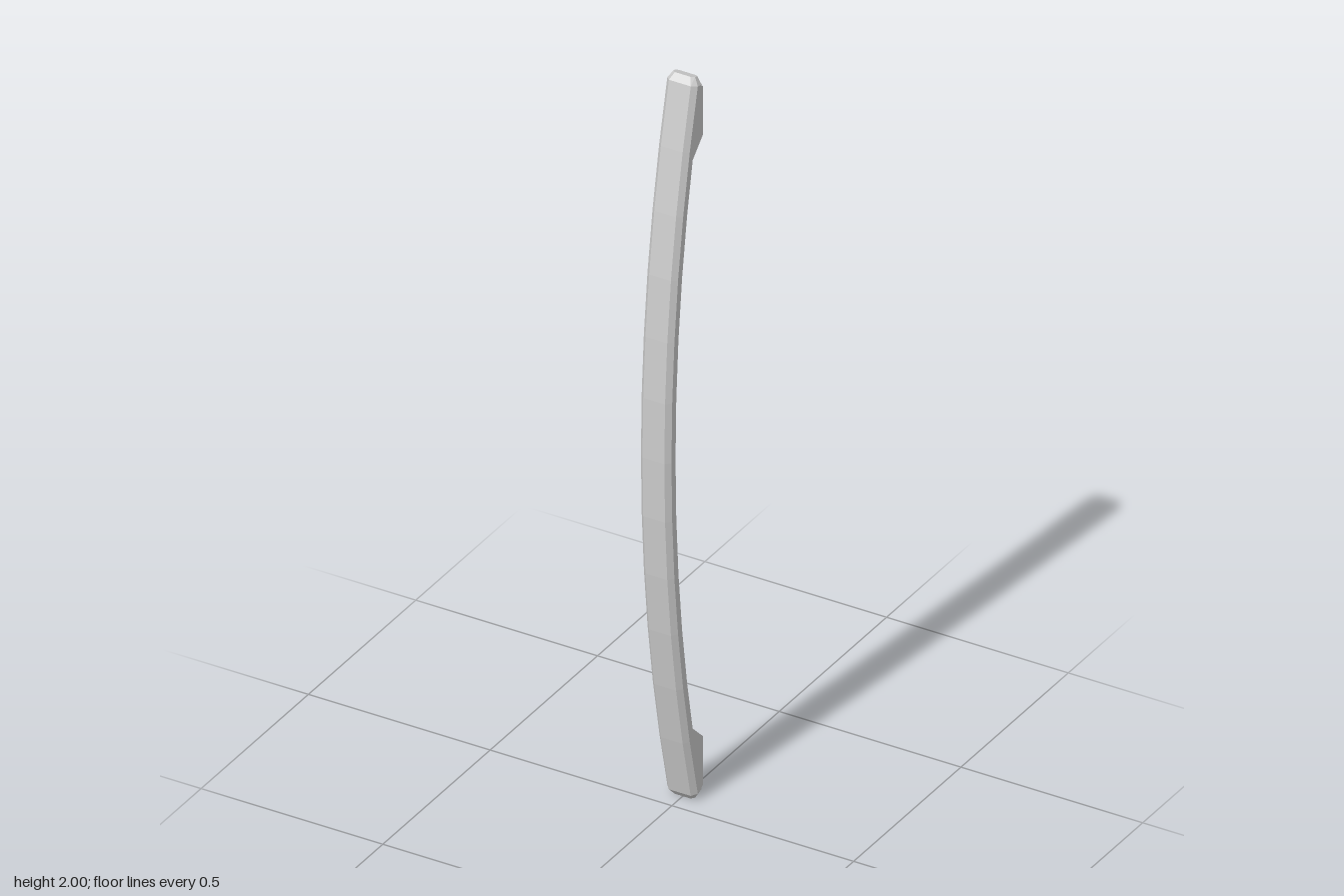
import * as THREE from 'three';

const material = new THREE.MeshStandardMaterial({ color: 0xcccccc, flatShading: true, side: THREE.DoubleSide });

// Skin a stack of equal rings ([x, y, z] points, counter-clockwise from above), capped at both ends
function loft(name, rings) {
  const n = rings[0].length;
  const index = [];
  for (let i = 0; i < rings.length - 1; i++) {
    for (let j = 0; j < n; j++) {
      const a = i * n + j, b = i * n + (j + 1) % n;
      index.push(a, b, b + n, a, b + n, a + n);
    }
  }
  const top = (rings.length - 1) * n;
  for (let j = 1; j < n - 1; j++) {
    index.push(0, j + 1, j, top, top + j, top + j + 1);
  }
  const geometry = new THREE.BufferGeometry();
  geometry.setAttribute('position', new THREE.Float32BufferAttribute(rings.flat(2), 3));
  geometry.setIndex(index);
  const flat = geometry.toNonIndexed();
  flat.computeVertexNormals();
  const mesh = new THREE.Mesh(flat, material);
  mesh.name = name;
  return mesh;
}

// Chamfered bar section: half-width across, depth along the bow's outward normal
const half = [[0.042, 0.007], [0.042, -0.012], [0.032, -0.02]];
const section = [
  ...half, ...half.map(([x, d]) => [-x, d]).reverse(),
  [-0.03, 0.02], [0.03, 0.02],
];

// Section placed on the bowed centre line at t = -1..1, optionally shrunk
function barRing(t, sx = 1, sd = 1) {
  const slope = 0.256 * t;
  const len = Math.hypot(1, slope);
  return section.map(([x, d]) => [
    x * sx,
    1 + t + d * sd * slope / len,
    0.066 - 0.128 * t * t + d * sd / len,
  ]);
}

// Mounting foot outline with chamfered back corners; the front edge sits inside the bar
function footRing(front, height) {
  const side = [[0.0415, front], [0.0415, -0.075], [0.03, -0.087]];
  return [...side, ...side.map(([x, z]) => [-x, z]).reverse()]
    .map(([x, z]) => [x, height(z), z]);
}

export function createModel() {
  const group = new THREE.Group();
  group.name = 'bowHandle';

  // Bowed bar with bevelled ends
  const rings = [barRing(-0.997, 0.72, 0.55)];
  const steps = 12;
  for (let i = 0; i <= steps; i++) rings.push(barRing(0.978 * (2 * i / steps - 1)));
  rings.push(barRing(0.997, 0.72, 0.55));
  group.add(loft('bar', rings));

  // Feet behind each end
  const foot = [
    footRing(-0.02, z => 1.8 + (-0.04 - z) * 0.96),
    footRing(-0.058, z => 1.96 + (z + 0.087) * 0.6),
  ];
  group.add(loft('upperFoot', foot));
  const mirrored = foot.map(ring => ring.map(([x, y, z]) => [x, 2 - y, z])).reverse();
  group.add(loft('lowerFoot', mirrored));

  return group;
}
